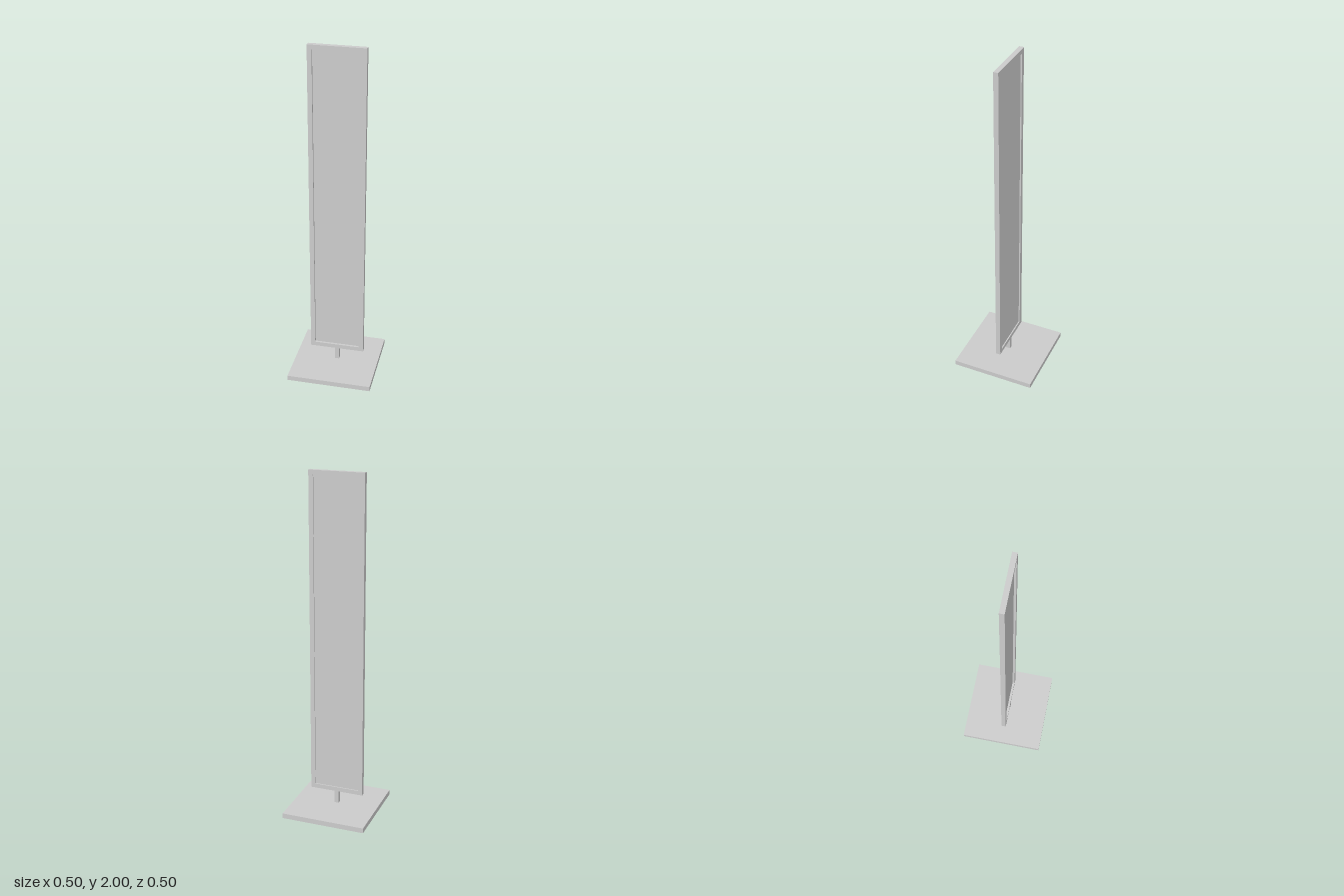
import * as THREE from 'three';

const material = new THREE.MeshStandardMaterial({ color: 0xcccccc, flatShading: true });
const sheetMaterial = new THREE.MeshStandardMaterial({ color: 0xcccccc, flatShading: true, side: THREE.DoubleSide });

function rectangle(PathType, halfWidth, bottom, top) {
  const p = new PathType();
  p.moveTo(-halfWidth, bottom);
  p.lineTo(halfWidth, bottom);
  p.lineTo(halfWidth, top);
  p.lineTo(-halfWidth, top);
  p.closePath();
  return p;
}

export function createModel() {
  const model = new THREE.Group();
  model.name = 'floorStandDisplay';

  function add(name, geometry, x, y, z, mat = material) {
    const mesh = new THREE.Mesh(geometry, mat);
    mesh.name = name;
    mesh.position.set(x, y, z);
    model.add(mesh);
    return mesh;
  }

  // Base: thin top sheet with four skirt walls, open underneath
  const half = 0.249, height = 0.03;
  add('baseTop', new THREE.PlaneGeometry(2 * half, 2 * half), 0, height, 0, sheetMaterial).rotation.x = -Math.PI / 2;
  for (let i = 0; i < 4; i++) {
    const a = (i * Math.PI) / 2;
    add('baseSkirt', new THREE.PlaneGeometry(2 * half, height),
      Math.sin(a) * half, height / 2, Math.cos(a) * half, sheetMaterial).rotation.y = a;
  }

  // Short square post between the base and the frame
  add('post', new THREE.BoxGeometry(0.026, 0.08, 0.026), 0, 0.068, 0);

  // Rectangular frame with an open middle
  const outline = rectangle(THREE.Shape, 0.161, 0.106, 2);
  outline.holes.push(rectangle(THREE.Path, 0.135, 0.132, 1.974));
  add('frame', new THREE.ExtrudeGeometry(outline, { depth: 0.028, bevelEnabled: false }), 0, 0, -0.014);

  // Panel recessed inside the frame, deeper from the front
  add('panel', new THREE.BoxGeometry(0.27, 1.842, 0.008), 0, 1.053, -0.003);

  return model;
}
